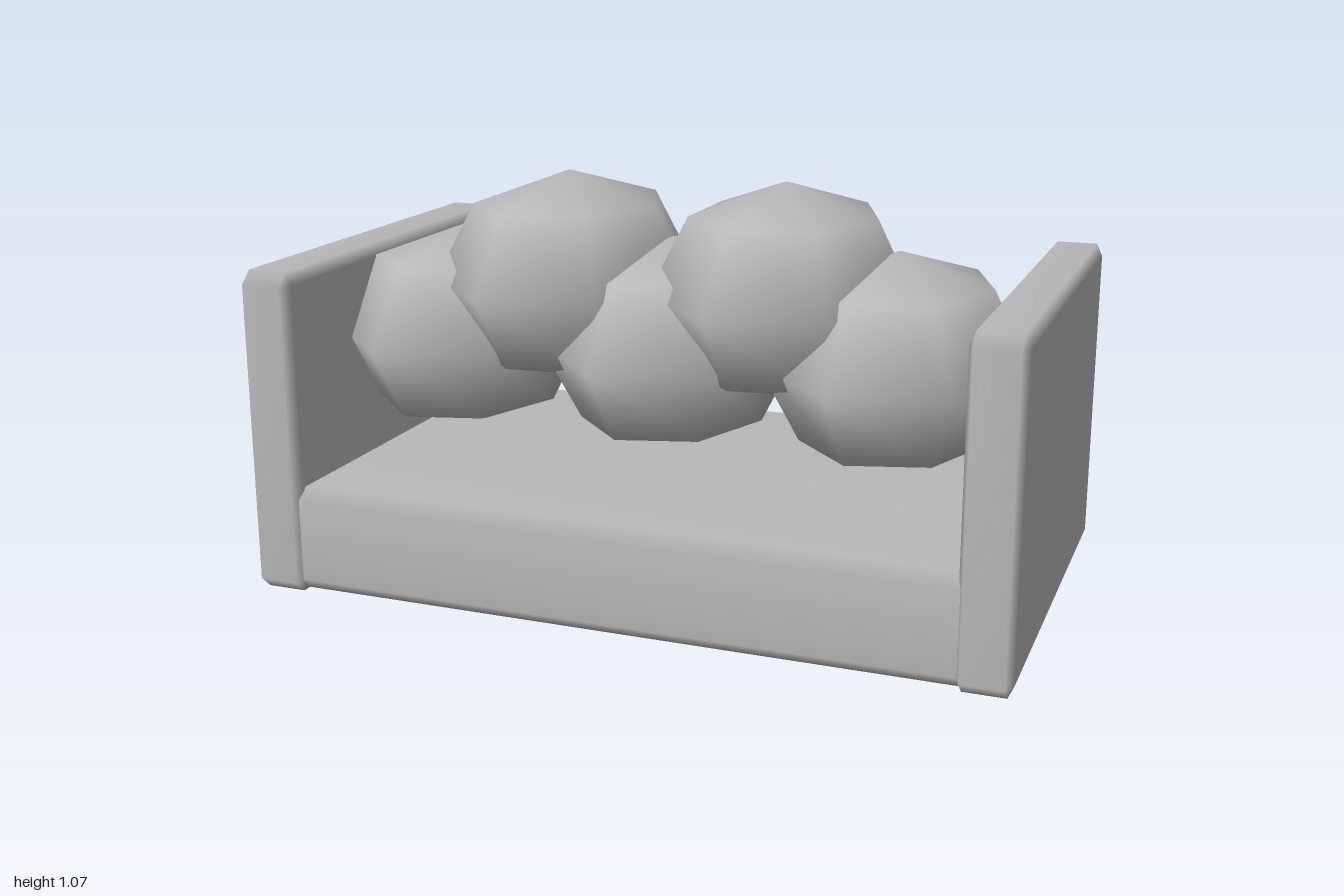
import * as THREE from 'three';
import { ConvexGeometry } from 'three/addons/geometries/ConvexGeometry.js';
import { mergeVertices } from 'three/addons/utils/BufferGeometryUtils.js';

// Box with one-step bevels and smooth shading; w, h, d are full sizes, bevel is per axis
function bevelledBox(w, h, d, bevel) {
  const half = [w / 2, h / 2, d / 2];
  const points = [];
  for (const sx of [-1, 1]) for (const sy of [-1, 1]) for (const sz of [-1, 1]) {
    const sign = [sx, sy, sz];
    for (let axis = 0; axis < 3; axis++) {
      const p = half.map((v, i) => sign[i] * (i === axis ? v : v - bevel[i]));
      points.push(new THREE.Vector3(...p));
    }
  }
  let geometry = new ConvexGeometry(points);
  geometry.deleteAttribute('normal');
  geometry = mergeVertices(geometry, 1e-4);
  geometry.computeVertexNormals();
  return geometry;
}

export function createModel() {
  const group = new THREE.Group();
  const grey = new THREE.MeshStandardMaterial({ color: 0xb8b8b8 });
  grey.name = 'plain grey';

  const add = (name, geometry, x, y, z = 0) => {
    const mesh = new THREE.Mesh(geometry, grey);
    mesh.name = name;
    mesh.position.set(x, y, z);
    group.add(mesh);
  };

  // Base slab, its ends buried in the side panels
  add('base', bevelledBox(1.8, 0.28, 1.14, [0.03, 0.03, 0.025]), 0, 0.148);

  // Side panels
  const panel = bevelledBox(0.137, 0.858, 1.18, [0.015, 0.033, 0.035]);
  add('rightPanel', panel, -0.9315, 0.429);
  add('leftPanel', panel, 0.9315, 0.429);

  // Low-poly rolls: seven sides, four rings, a corner pointing to +x
  const roll = new THREE.SphereGeometry(1, 7, 4);
  roll.rotateY(Math.PI);
  roll.scale(0.345, 0.283, 0.435);
  [-0.645, -0.037, 0.57].forEach((x, i) => add(`lowerRoll${i + 1}`, roll, x, 0.628));
  [-0.34, 0.267].forEach((x, i) => add(`upperRoll${i + 1}`, roll, x, 0.788));

  return group;
}
